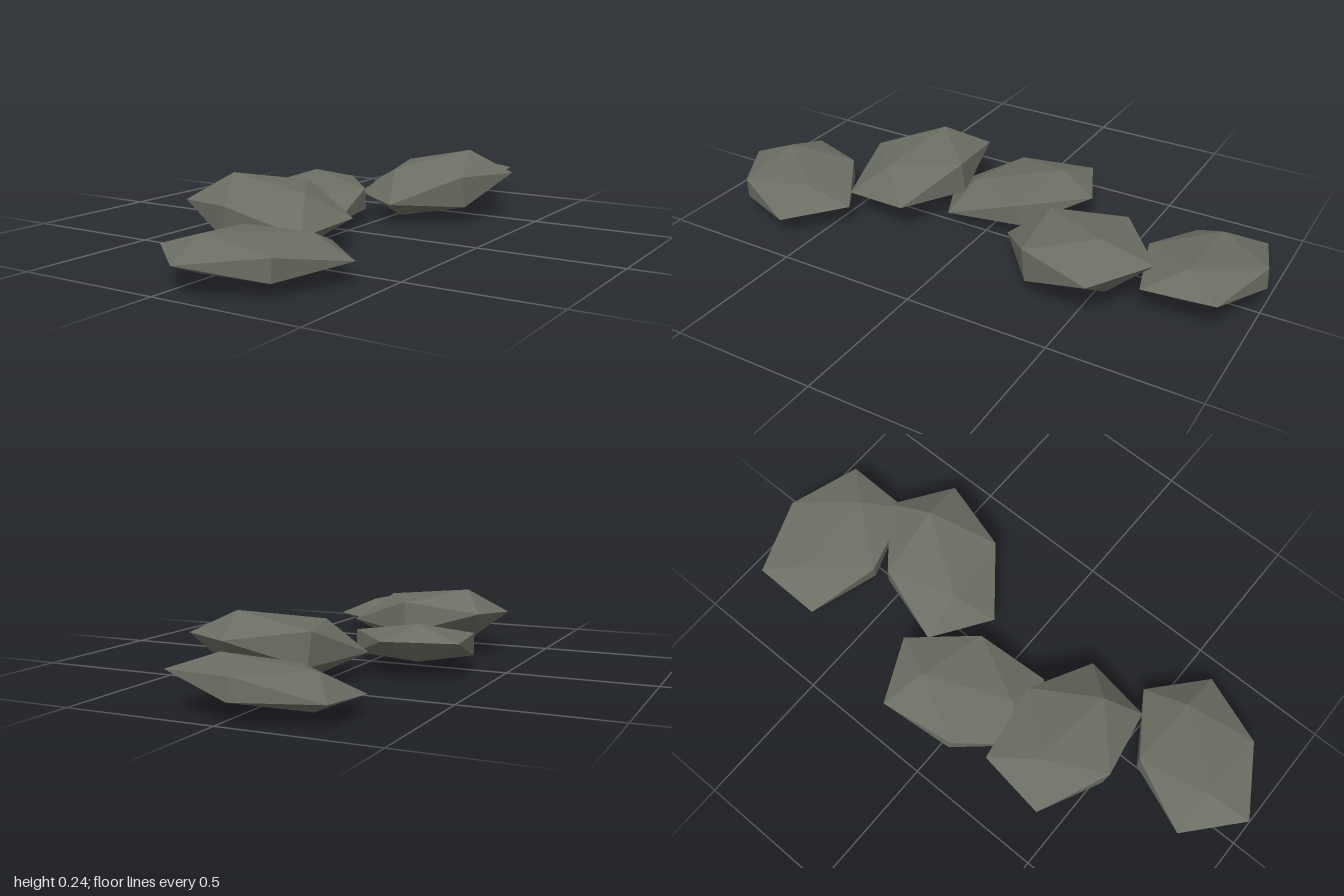
import * as THREE from 'three';

export function createModel() {
  const group = new THREE.Group();
  group.name = 'steppingStones';

  const stone = new THREE.MeshStandardMaterial({ color: 0x6b6e62, flatShading: true });
  stone.name = 'mossy grey stone';

  // Every stone is a flattened, slightly tilted icosahedron: same length and width, own thickness.
  const length = 0.306, width = 0.236;
  const stones = [
    // position, thickness, yaw, pitch, roll
    { at: [-0.045, 0.09, -0.8], thick: 0.067, yaw: 0, pitch: 0.085, roll: 0.1 },
    { at: [0.128, 0.1275, -0.419], thick: 0.107, yaw: 0.987, pitch: 0.036, roll: 0.163 },
    { at: [-0.1875, 0.0905, -0.041], thick: 0.073, yaw: -1.135, pitch: 0.033, roll: -0.165 },
    { at: [-0.098, 0.1275, 0.336], thick: 0.106, yaw: -0.13, pitch: 0.083, roll: -0.11 },
    { at: [0.144, 0.089, 0.715], thick: 0.069, yaw: 0.855, pitch: 0.03, roll: -0.047 },
  ];

  stones.forEach((s, i) => {
    const mesh = new THREE.Mesh(new THREE.IcosahedronGeometry(1, 0), stone);
    mesh.name = `stone${i + 1}`;
    mesh.scale.set(length, s.thick, width);
    mesh.rotation.set(s.pitch, s.yaw, s.roll, 'YXZ');
    mesh.position.set(...s.at);
    group.add(mesh);
  });

  return group;
}
